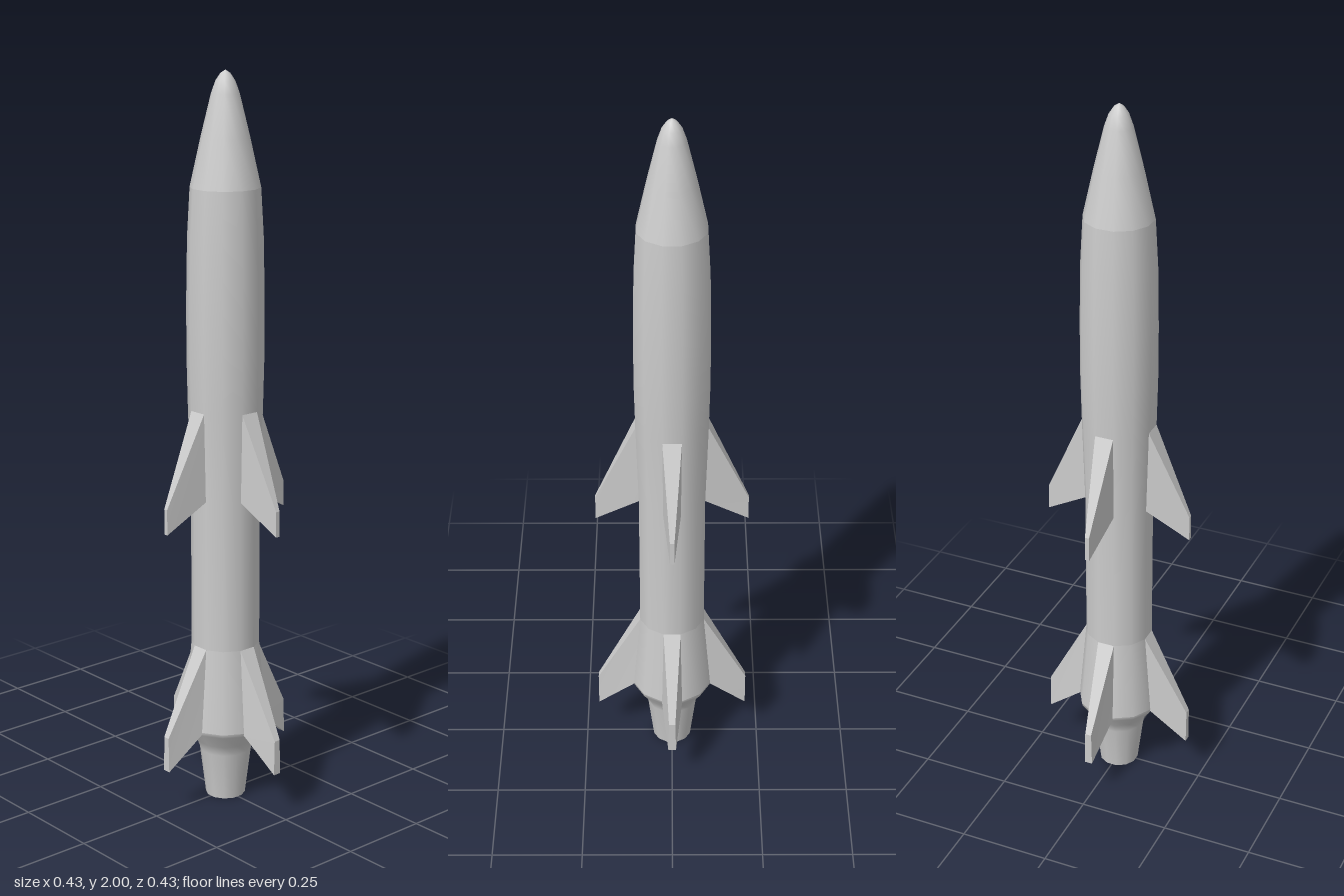
import * as THREE from 'three';

const SIDES = 12;
const HALF_STEP = Math.PI / SIDES;

// Twelve-sided shell from [half width across flats, height] pairs, flats facing the axes
function shell(name, profile, material) {
  const points = profile.map(([r, y]) => new THREE.Vector2(r / Math.cos(HALF_STEP), y));
  const mesh = new THREE.Mesh(new THREE.LatheGeometry(points, SIDES, HALF_STEP), material);
  mesh.name = name;
  return mesh;
}

// Tapered fin along +x: a box whose corners move to the fin outline.
// Each corner is [distance from axis, height, half thickness].
function finGeometry({ rootTop, rootBottom, tipTop, tipBottom }) {
  const geometry = new THREE.BoxGeometry(1, 1, 1);
  const p = geometry.attributes.position;
  for (let i = 0; i < p.count; i++) {
    const top = p.getY(i) > 0;
    const tip = p.getX(i) > 0;
    const [x, y, w] = tip ? (top ? tipTop : tipBottom) : (top ? rootTop : rootBottom);
    p.setXYZ(i, x, y, Math.sign(p.getZ(i)) * w);
  }
  geometry.computeVertexNormals();
  return geometry;
}

// Four fins around the body
function finRing(name, corners, material) {
  const ring = new THREE.Group();
  ring.name = name + 's';
  const geometry = finGeometry(corners);
  for (let i = 0; i < 4; i++) {
    const fin = new THREE.Mesh(geometry, material);
    fin.name = name;
    fin.rotation.y = (i * Math.PI) / 2;
    ring.add(fin);
  }
  return ring;
}

export function createModel() {
  const model = new THREE.Group();
  model.name = 'rocket';
  const grey = new THREE.MeshStandardMaterial({ color: 0xcccccc });
  grey.name = 'light grey';

  // Body, from the nozzle up to the nose
  model.add(
    shell('nozzleFloor', [[0, 0.06], [0.034, 0.06]], grey),
    shell('nozzleBore', [[0.034, 0.06], [0.037, 0]], grey),
    shell('nozzleRim', [[0.037, 0], [0.053, 0]], grey),
    shell('nozzle', [[0.053, 0], [0.069, 0.135], [0.08, 0.165], [0.108, 0.205], [0.11, 0.215]], grey),
    shell('tailSkirt', [[0.11, 0.215], [0.09, 0.45]], grey),
    shell('body', [[0.09, 0.45], [0.09, 0.87], [0.097, 1.11], [0.1, 1.25], [0.1, 1.4], [0.097, 1.57], [0.09, 1.7]], grey),
    shell('noseCone', [[0.09, 1.7], [0.062, 1.83], [0.036, 1.94], [0.025, 1.972], [0.012, 1.992], [0, 2]], grey),
  );

  // Fins, as wide at the root as one flat of the body
  model.add(
    finRing('tailFin', {
      rootTop: [0.089, 0.452, 0.024], rootBottom: [0.109, 0.21, 0.029],
      tipTop: [0.213, 0.22, 0.009], tipBottom: [0.213, 0.122, 0.011],
    }, grey),
    finRing('middleFin', {
      rootTop: [0.096, 1.115, 0.026], rootBottom: [0.089, 0.87, 0.024],
      tipTop: [0.209, 0.868, 0.006], tipBottom: [0.209, 0.798, 0.006],
    }, grey),
  );

  return model;
}
